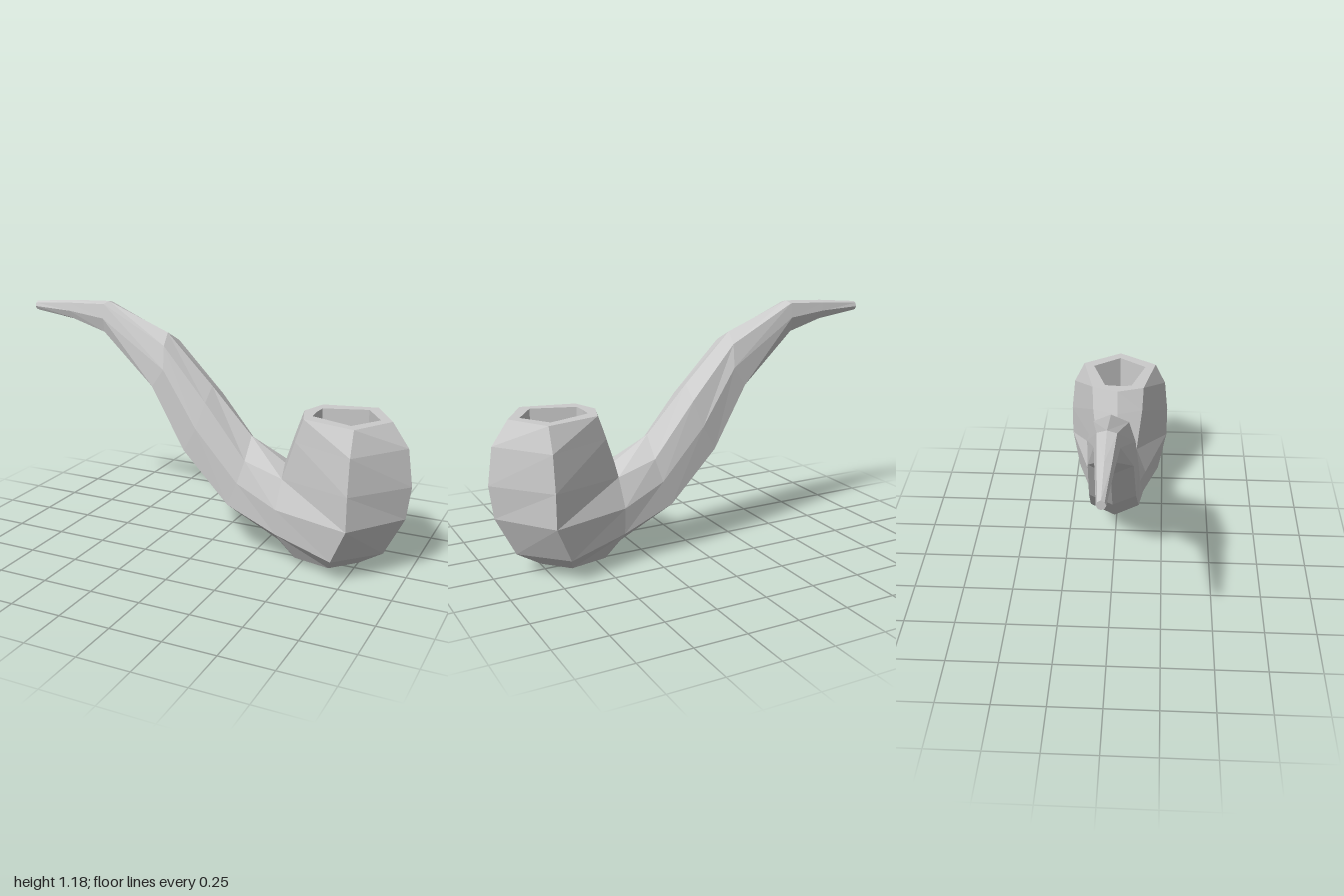
import * as THREE from 'three';

const material = new THREE.MeshStandardMaterial({ color: 0xcccccc, flatShading: true });

// Skins a grid of columns (back to front, each listed top to bottom) on the +z side and mirrors it
function addGrid(out, columns) {
  const v = (p) => new THREE.Vector3(p[0], p[1], p[2] || 0);
  const tri = (a, b, c) => {
    const [A, B, C] = [v(a), v(b), v(c)];
    const area = B.clone().sub(A).cross(C.clone().sub(A)).length();
    if (area < 1e-7) return; // collapsed corner of a fan
    for (const p of [A, B, C]) out.push(p.x, p.y, p.z);
    for (const p of [A, C, B]) out.push(p.x, p.y, -p.z);
  };
  for (let i = 0; i + 1 < columns.length; i++) {
    const l = columns[i], r = columns[i + 1];
    for (let j = 0; j + 1 < l.length; j++) {
      tri(l[j], l[j + 1], r[j + 1]);
      tri(l[j], r[j + 1], r[j]);
    }
  }
}

function makeMesh(name, grids) {
  const positions = [];
  grids.forEach((g) => addGrid(positions, g));
  const geometry = new THREE.BufferGeometry();
  geometry.setAttribute('position', new THREE.Float32BufferAttribute(positions, 3));
  geometry.computeVertexNormals();
  const mesh = new THREE.Mesh(geometry, material);
  mesh.name = name;
  return mesh;
}

export function createModel() {
  const group = new THREE.Group();
  group.name = 'smokingPipe';

  // Half cross-sections of the stem: top ridge, shoulder, side, lower edge, keel
  const rings = [
    [[-1, 1.15], [-1, 1.142, 0.014], [-1, 1.125, 0.02], [-1, 1.11, 0.012], [-1, 1.105]],
    [[-0.78, 1.17], [-0.78, 1.16, 0.03], [-0.78, 1.12, 0.038], [-0.78, 1.085, 0.025], [-0.78, 1.075]],
    [[-0.57, 1.18], [-0.575, 1.17, 0.042], [-0.575, 1.1, 0.055], [-0.58, 1.03, 0.035], [-0.58, 1.02]],
    [[-0.24, 1.05], [-0.22, 1, 0.08], [-0.21, 0.89, 0.11], [-0.275, 0.8, 0.105], [-0.28, 0.75]],
    [[0, 0.81], [0.01, 0.75, 0.1], [-0.03, 0.62, 0.125], [-0.1, 0.5, 0.115], [-0.11, 0.45]],
    [[0.21, 0.585], [0.22, 0.49, 0.105], [0.19, 0.38, 0.13], [0.14, 0.26, 0.125], [0.13, 0.2]],
    [[0.385, 0.475], [0.41, 0.43, 0.105], [0.4, 0.29, 0.155], [0.4, 0.16, 0.145], [0.36, 0.07]],
  ];
  const tip = rings[0].map(() => [-1, 1.127, 0]);
  group.add(makeMesh('stem', [[tip, ...rings]]));

  // Bowl columns from rim to base, sharing the last stem ring
  const [jTop, jShoulder, jSide, jLower, jKeel] = rings[rings.length - 1];
  const base = [0.62, 0, 0];
  const center = [[0.475, 0.745], [0.435, 0.63], jTop];
  const back = [[0.52, 0.745, 0.135], [0.48, 0.63, 0.13], jShoulder, jSide, jLower, [0.475, 0.03, 0.08], base];
  const side = [[0.775, 0.745, 0.195], [0.78, 0.63, 0.25], [0.78, 0.455, 0.268], [0.78, 0.29, 0.268],
    [0.7, 0.112, 0.225], [0.66, 0.03, 0.12], base];
  const front = [[0.895, 0.745], [0.975, 0.63], [1, 0.45], [0.98, 0.29], [0.885, 0.1], [0.77, 0.03], base];
  group.add(makeMesh('bowl', [
    [center, back.slice(0, 3)],
    [back, side, front],
    [[jLower, jKeel, jKeel], [jLower, back[5], base]],
  ]));

  // Flat rim, straight chamber wall and chamber floor
  const floorY = 0.42;
  const mouth = [[0.535, 0], [0.54, 0.07], [0.745, 0.14], [0.84, 0]];
  const outer = [center[0], back[0], side[0], front[0]];
  group.add(makeMesh('rimAndChamber', [
    mouth.map(([x, z], i) => [[0.69, floorY, 0], [x, floorY, z], [x, 0.745, z], outer[i]]),
  ]));

  return group;
}
